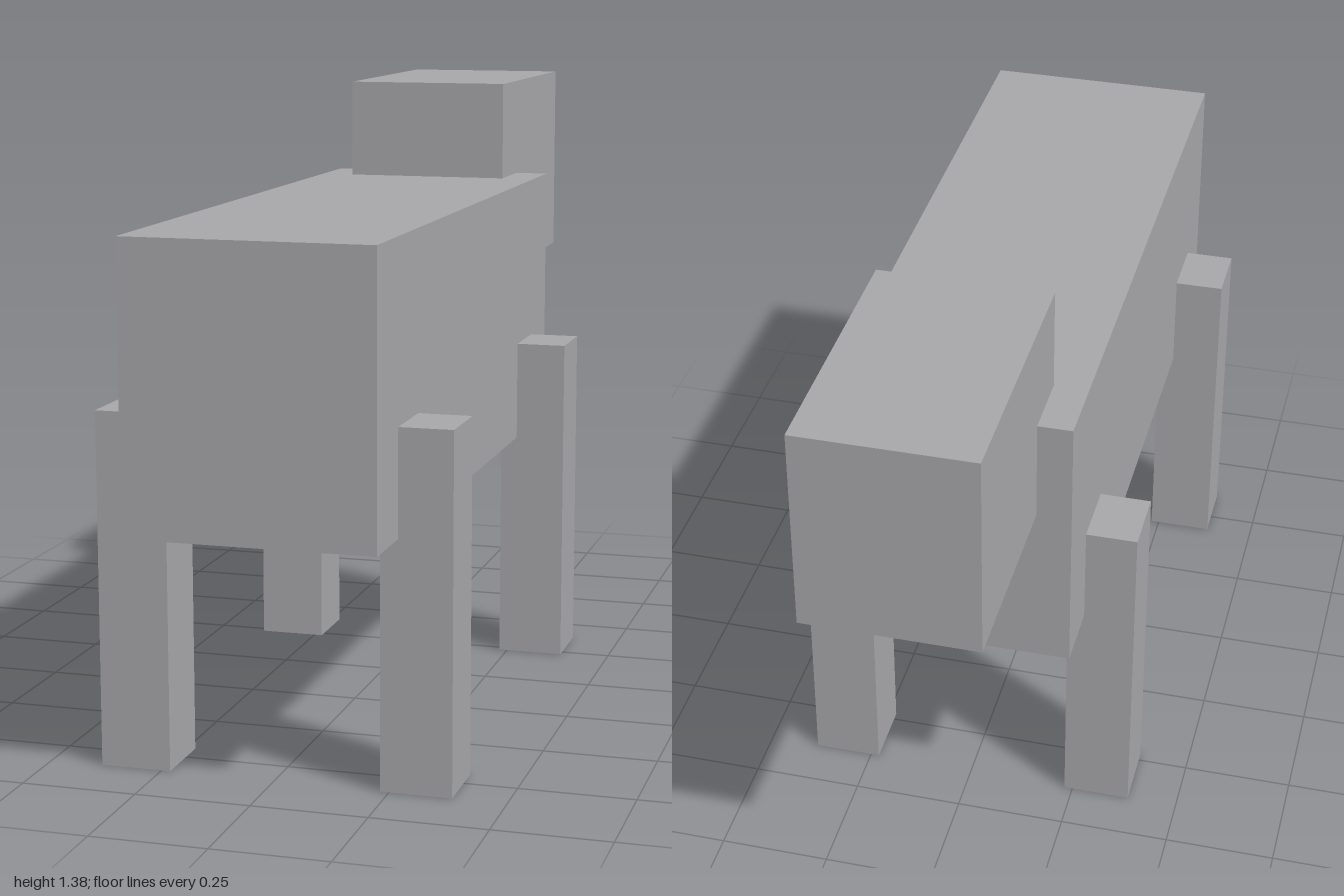
import * as THREE from 'three';

const U = 1 / 13; // block unit

export function createModel() {
  const model = new THREE.Group();
  model.name = 'blockAnimal';
  const grey = new THREE.MeshStandardMaterial({ color: 0xa6a6a9 });
  grey.name = 'grey';

  // Box from its size and its centre, in block units
  function block(name, size, centre) {
    const mesh = new THREE.Mesh(new THREE.BoxGeometry(...size.map((s) => s * U)), grey);
    mesh.position.set(...centre.map((c) => c * U));
    mesh.name = name;
    model.add(mesh);
  }

  block('body', [7, 8, 20], [0, 11, 3]);
  block('head', [5, 6, 8], [0, 15, -9]);

  // Four legs, overlapping the flanks; the head end is at -z
  for (const [side, x] of [['left', 4], ['right', -4]]) {
    block(`${side}LegNearHead`, [2, 10, 2], [x, 5, -4]);
    block(`${side}LegNearTail`, [2, 10, 2], [x, 5, 10]);
  }

  return model;
}
